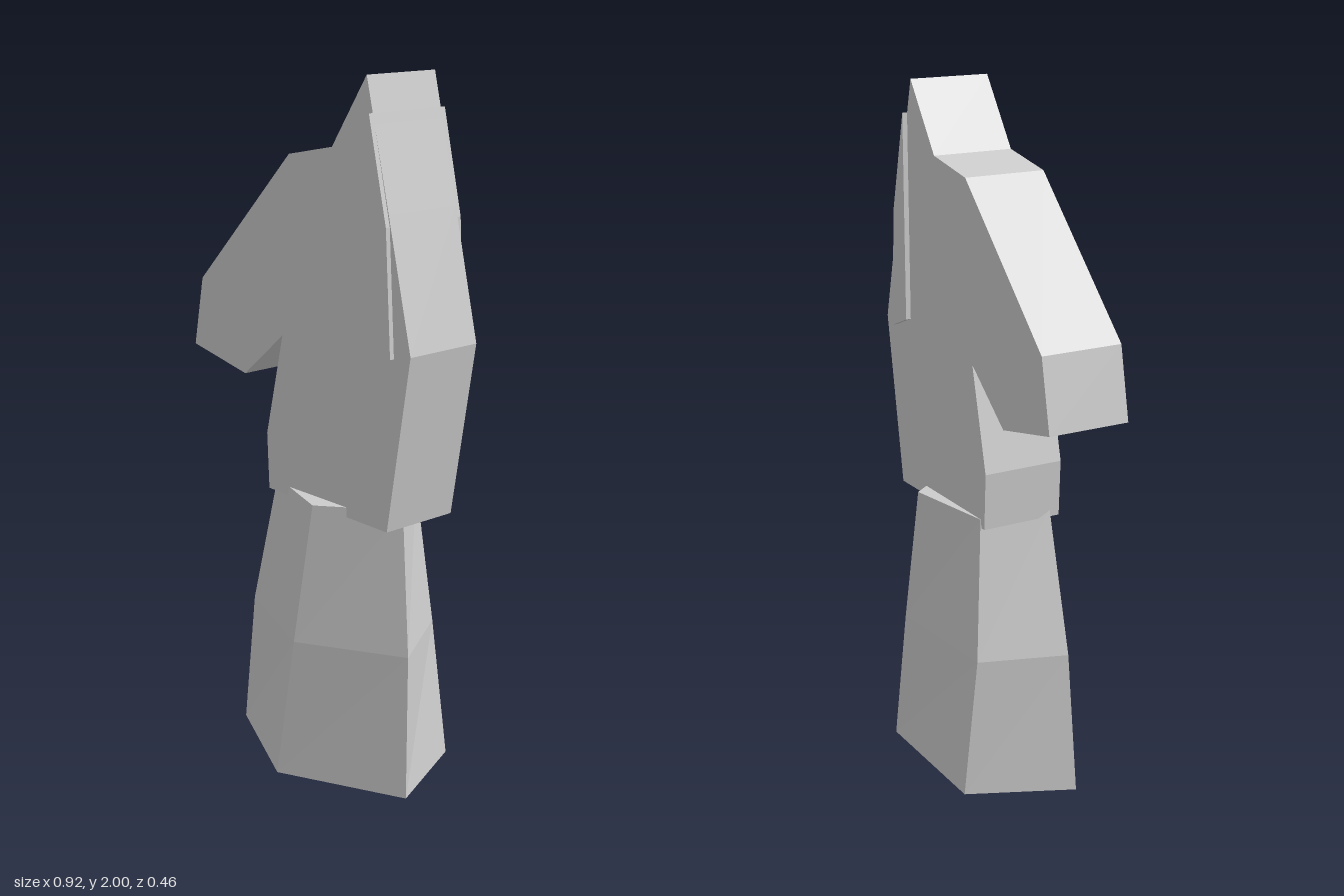
import * as THREE from 'three';

// Prism with a straight-edged profile in x/y, spanning zBack to zFront
function slab(name, points, zBack, zFront, material) {
  const shape = new THREE.Shape(points.map(([x, y]) => new THREE.Vector2(x, y)));
  const geometry = new THREE.ExtrudeGeometry(shape, { depth: zFront - zBack, bevelEnabled: false });
  geometry.translate(0, 0, zBack);
  const mesh = new THREE.Mesh(geometry, material);
  mesh.name = name;
  return mesh;
}

// Faceted loft through rings of [x, z] corners, closed at both ends
function loft(name, rings, material) {
  const positions = [];
  const n = rings[0].corners.length;
  const at = (r, i) => {
    const [x, z] = rings[r].corners[i % n];
    return [x, rings[r].y, z];
  };
  const triangle = (a, b, c) => positions.push(...a, ...b, ...c);
  const last = rings.length - 1;
  for (let r = 0; r < last; r++) {
    for (let i = 0; i < n; i++) {
      triangle(at(r, i), at(r, i + 1), at(r + 1, i + 1));
      triangle(at(r, i), at(r + 1, i + 1), at(r + 1, i));
    }
  }
  for (let i = 1; i < n - 1; i++) {
    triangle(at(last, 0), at(last, i), at(last, i + 1));
    triangle(at(0, 0), at(0, i + 1), at(0, i));
  }
  const geometry = new THREE.BufferGeometry();
  geometry.setAttribute('position', new THREE.Float32BufferAttribute(positions, 3));
  geometry.computeVertexNormals();
  const mesh = new THREE.Mesh(geometry, material);
  mesh.name = name;
  return mesh;
}

export function createModel() {
  const grey = new THREE.MeshStandardMaterial({ color: 0xcccccc, flatShading: true });
  grey.name = 'light grey';

  const group = new THREE.Group();
  group.name = 'chessKnight';

  // Five-sided tapering pedestal: left, front, right, back right, back left
  group.add(loft('pedestal', [
    { y: 0, corners: [[-0.29, 0.06], [0.064, 0.23], [0.425, 0.06], [0.295, -0.23], [-0.15, -0.234]] },
    { y: 0.41, corners: [[-0.24, 0.06], [0.1, 0.195], [0.395, 0.03], [0.245, -0.214], [-0.152, -0.19]] },
    { y: 0.82, corners: [[-0.12, 0.067], [0.138, 0.157], [0.336, 0], [0.19, -0.193], [-0.1, -0.148]] },
  ], grey));

  // Horse head and neck
  group.add(slab('horseHead', [
    [-0.12, 0.795], [0.375, 0.79], [0.457, 1.29], [0.37, 1.65], [0.283, 2],
    [0.15, 1.805], [-0.025, 1.77], [-0.42, 1.37], [-0.46, 1.165],
    [-0.225, 1.118], [-0.057, 1.26], [-0.128, 0.96],
  ], -0.147, 0.098, grey));

  // Mane ridge running through the neck, standing proud on both sides
  group.add(slab('mane', [
    [0.307, 1.31], [0.395, 1.275], [0.374, 1.62], [0.307, 1.905],
  ], -0.162, 0.112, grey));

  return group;
}
